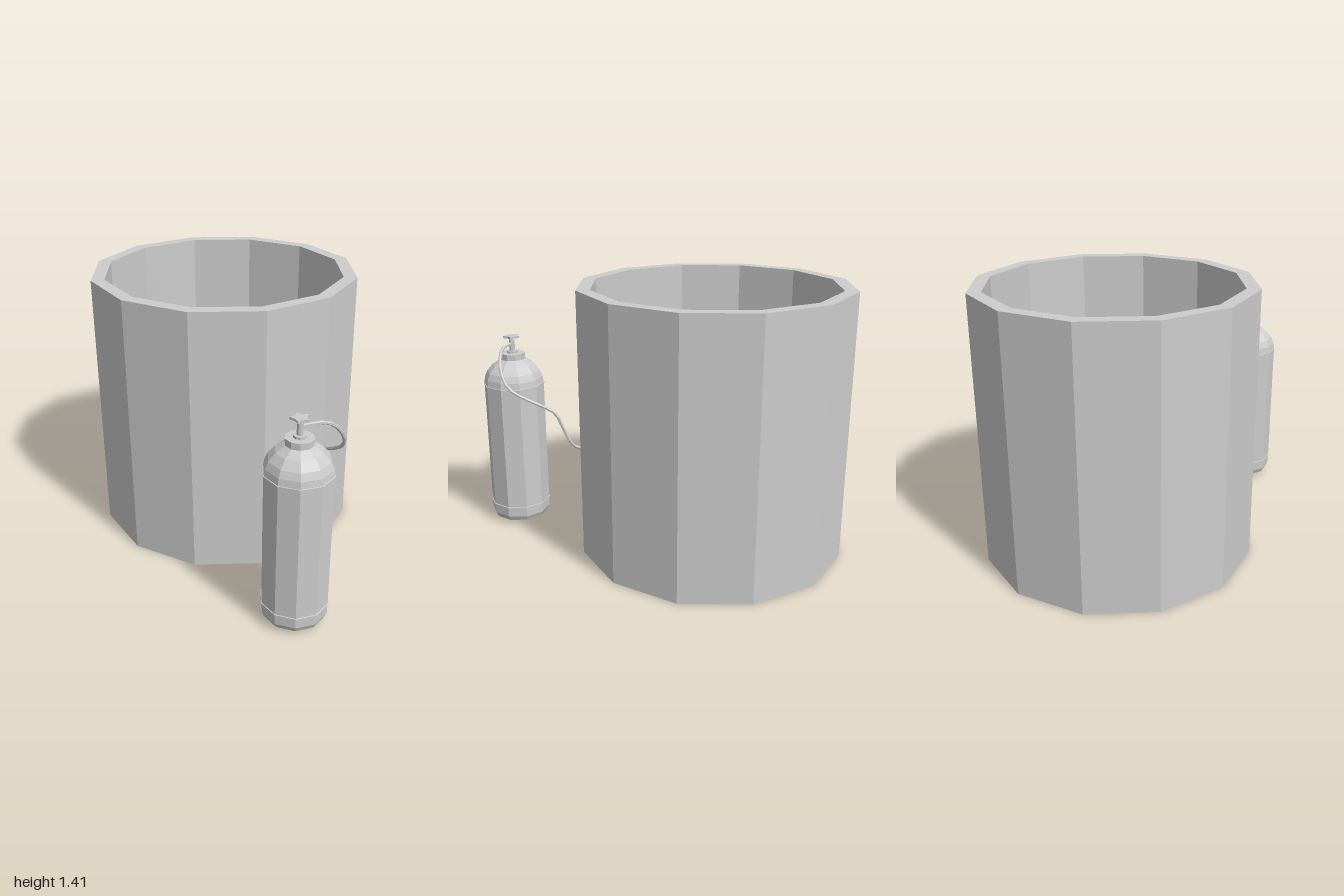
import * as THREE from 'three';

const grey = new THREE.MeshStandardMaterial({ color: 0xcccccc });
grey.name = 'plain grey';

// Faceted mesh with one normal per face
function part(name, geometry, parent) {
  const geo = geometry.index ? geometry.toNonIndexed() : geometry;
  geo.computeVertexNormals();
  const mesh = new THREE.Mesh(geo, grey);
  mesh.name = name;
  parent.add(mesh);
  return mesh;
}

function turned(name, profile, sides, parent, phase = 0) {
  const points = profile.map(([r, y]) => new THREE.Vector2(r, y));
  return part(name, new THREE.LatheGeometry(points, sides, phase), parent);
}

export function createModel() {
  const model = new THREE.Group();
  model.name = 'tubAndGasBottle';

  // Open twelve-sided tub with a shallow recess in its floor
  const tub = turned('tub', [
    [0, 0], [0.705, 0], [0.705, 1.41], [0.635, 1.41],
    [0.635, 0.07], [0.43, 0.07], [0.43, 0.04], [0, 0.04],
  ], 12, model);
  tub.position.z = -0.295;

  // Gas bottle, ten-sided
  const bottle = new THREE.Group();
  bottle.name = 'gasBottle';
  bottle.position.set(0.01, 0, 0.84);
  model.add(bottle);
  const phase = Math.PI / 10;

  turned('bottleBody', [
    [0, 0.012], [0.12, 0.012], [0.15, 0.023], [0.163, 0.05], [0.165, 0.1],
    [0.165, 0.81], [0.16, 0.842], [0.145, 0.877], [0.112, 0.915],
    [0.065, 0.947], [0, 0.947],
  ], 10, bottle, phase);

  // Weld bands around the body
  for (const y of [0.105, 0.805]) {
    turned('bottleBand', [[0.163, y - 0.005], [0.169, y - 0.003], [0.169, y + 0.003], [0.163, y + 0.005]],
      10, bottle, phase);
  }

  // Neck collar, valve seat and stem
  turned('neckCollar', [[0, 0.944], [0.068, 0.944], [0.068, 0.978], [0, 0.978]], 10, bottle, phase);
  turned('valveSeat', [[0, 0.975], [0.031, 0.975], [0.031, 0.99], [0, 0.99]], 10, bottle, phase);
  turned('valveStem', [[0, 0.985], [0.016, 0.985], [0.016, 1.052], [0.008, 1.052], [0.008, 1.064], [0, 1.064]],
    8, bottle);

  // Star-shaped hand wheel
  const star = new THREE.Shape();
  for (let i = 0; i < 10; i++) {
    const a = Math.PI / 2 + (i * Math.PI) / 5;
    const r = i % 2 ? 0.03 : 0.047;
    star[i ? 'lineTo' : 'moveTo'](r * Math.cos(a), r * Math.sin(a));
  }
  star.closePath();
  const wheel = part('handWheel', new THREE.ExtrudeGeometry(star, { depth: 0.012, bevelEnabled: false }), bottle);
  wheel.rotation.x = -Math.PI / 2;
  wheel.position.y = 1.062;

  // Hose from the valve to the tub wall
  const path = new THREE.CatmullRomCurve3([
    [0.015, 1.03, 0.84], [0.12, 1.03, 0.836], [0.17, 1.01, 0.83], [0.23, 0.94, 0.805],
    [0.255, 0.88, 0.775], [0.257, 0.835, 0.735], [0.235, 0.79, 0.66], [0.22, 0.765, 0.61],
    [0.17, 0.705, 0.53], [0.14, 0.6, 0.493], [0.11, 0.51, 0.46], [0.06, 0.47, 0.42],
    [0.042, 0.452, 0.395],
  ].map((p) => new THREE.Vector3(...p)));
  part('hose', new THREE.TubeGeometry(path, 20, 0.009, 6), model);

  return model;
}
